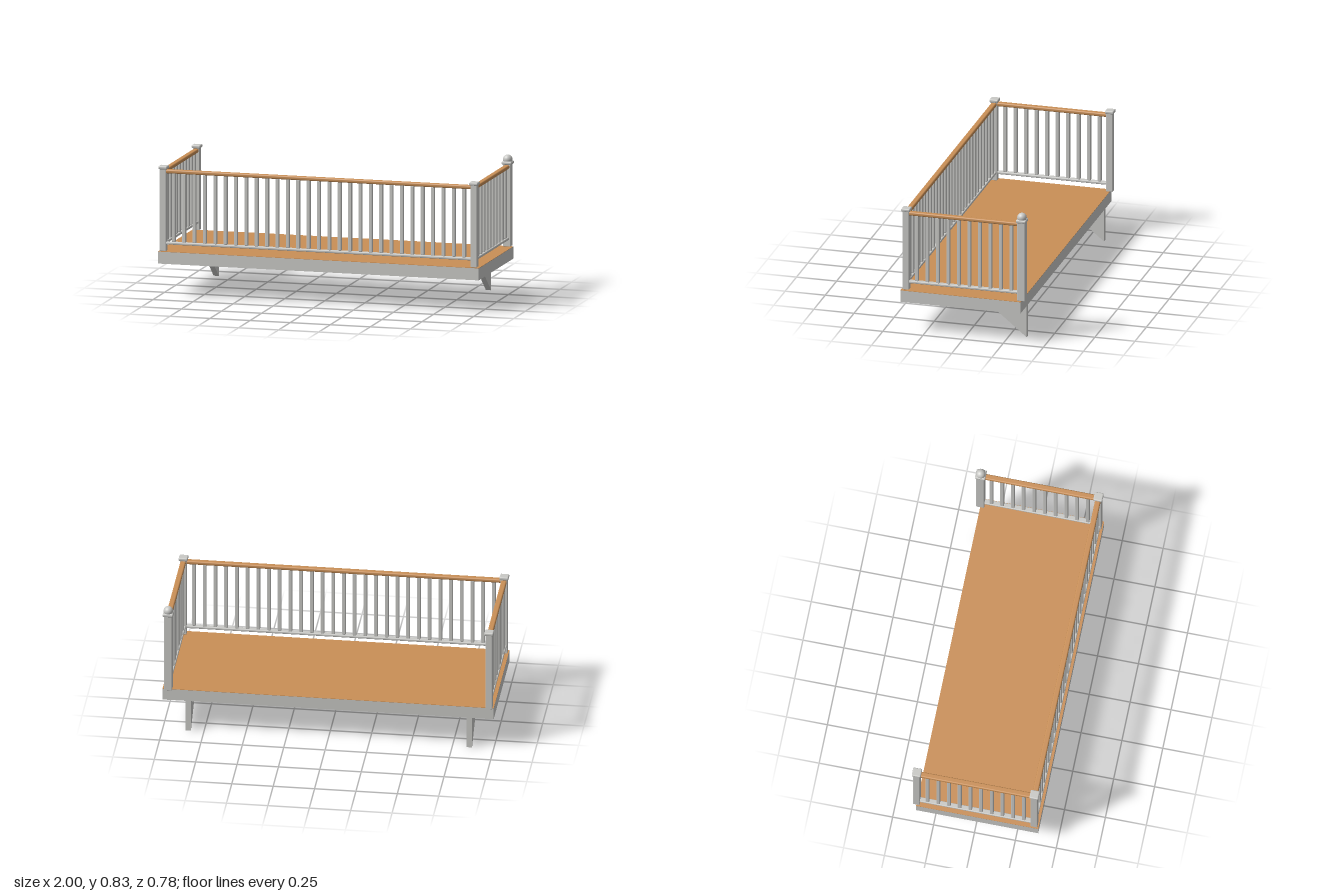
import * as THREE from 'three';
import { RoundedBoxGeometry } from 'three/addons/geometries/RoundedBoxGeometry.js';

const painted = new THREE.MeshStandardMaterial({ color: 0xc9c9c6 });
painted.name = 'pale grey paint';
const wood = new THREE.MeshStandardMaterial({ color: 0xc98f56 });
wood.name = 'warm wood';

const DECK_TOP = 0.275;
const LEFT_X = 0.965, RIGHT_X = -0.973; // post lines at the two ends
const FRONT_Z = 0.362, BACK_Z = -0.357;

function add(parent, name, geometry, material, x, y, z) {
  const mesh = new THREE.Mesh(geometry, material);
  mesh.name = name;
  mesh.position.set(x, y, z);
  parent.add(mesh);
  return mesh;
}

// Square post with a soft-edged cap
function addPost(parent, name, x, z, size, capSize) {
  const post = new THREE.Group();
  post.name = name;
  post.position.set(x, 0, z);
  add(post, 'postShaft', new RoundedBoxGeometry(size, 0.5, size, 1, 0.003), painted, 0, 0.526, 0);
  add(post, 'postCap', new RoundedBoxGeometry(capSize, 0.02, capSize, 2, 0.007), painted, 0, 0.784, 0);
  parent.add(post);
  return post;
}

// Railing along local x: handrail, lower rail and evenly spaced balusters
function addRailing(parent, name, length, count, span) {
  const railing = new THREE.Group();
  railing.name = name;
  add(railing, 'handrail', new RoundedBoxGeometry(length, 0.023, 0.034, 2, 0.008), wood, 0, 0.761, 0);
  add(railing, 'lowerRail', new RoundedBoxGeometry(length, 0.016, 0.03, 2, 0.005), painted, 0, 0.324, 0);
  const baluster = new RoundedBoxGeometry(0.022, 0.42, 0.022, 1, 0.004);
  for (let i = 0; i < count; i++) {
    const x = -span / 2 + (span * i) / (count - 1);
    add(railing, 'baluster', baluster, painted, x, 0.542, 0);
  }
  parent.add(railing);
  return railing;
}

export function createModel() {
  const model = new THREE.Group();
  model.name = 'balcony';

  // Slab with a thin wooden floor
  add(model, 'slab', new THREE.BoxGeometry(2, 0.073, 0.747), painted, 0, 0.2365, 0.0165);
  add(model, 'floor', new THREE.BoxGeometry(2, 0.002, 0.747), wood, 0, DECK_TOP - 0.001, 0.0165);

  // Triangular wall brackets
  const side = new THREE.Shape([
    new THREE.Vector2(-0.11, 0.201),
    new THREE.Vector2(-0.357, 0.201),
    new THREE.Vector2(-0.357, 0),
  ]);
  const bracket = new THREE.ExtrudeGeometry(side, { depth: 0.033, bevelEnabled: false });
  bracket.translate(0, 0, -0.0165);
  bracket.rotateY(-Math.PI / 2);
  for (const x of [0.845, -0.853]) add(model, 'bracket', bracket, painted, x, 0, 0);

  // Corner posts; the back left one is thicker and carries a ball
  addPost(model, 'frontLeftPost', LEFT_X, FRONT_Z, 0.04, 0.055);
  addPost(model, 'frontRightPost', RIGHT_X, FRONT_Z, 0.04, 0.055);
  addPost(model, 'backRightPost', RIGHT_X, BACK_Z, 0.04, 0.055);
  const ballPost = addPost(model, 'backLeftPost', LEFT_X, BACK_Z, 0.048, 0.063);
  add(ballPost, 'ballFinial', new THREE.SphereGeometry(0.029, 32, 20), painted, 0, 0.804, 0);

  // Front railing and the two end railings
  const front = addRailing(model, 'frontRailing', LEFT_X - RIGHT_X - 0.03, 29, 1.811);
  front.position.set((LEFT_X + RIGHT_X) / 2, 0, FRONT_Z);
  for (const [name, x] of [['leftRailing', LEFT_X], ['rightRailing', RIGHT_X]]) {
    const end = addRailing(model, name, FRONT_Z - BACK_Z - 0.03, 10, 0.588);
    end.rotation.y = Math.PI / 2;
    end.position.set(x, 0, (FRONT_Z + BACK_Z) / 2);
  }
  return model;
}
